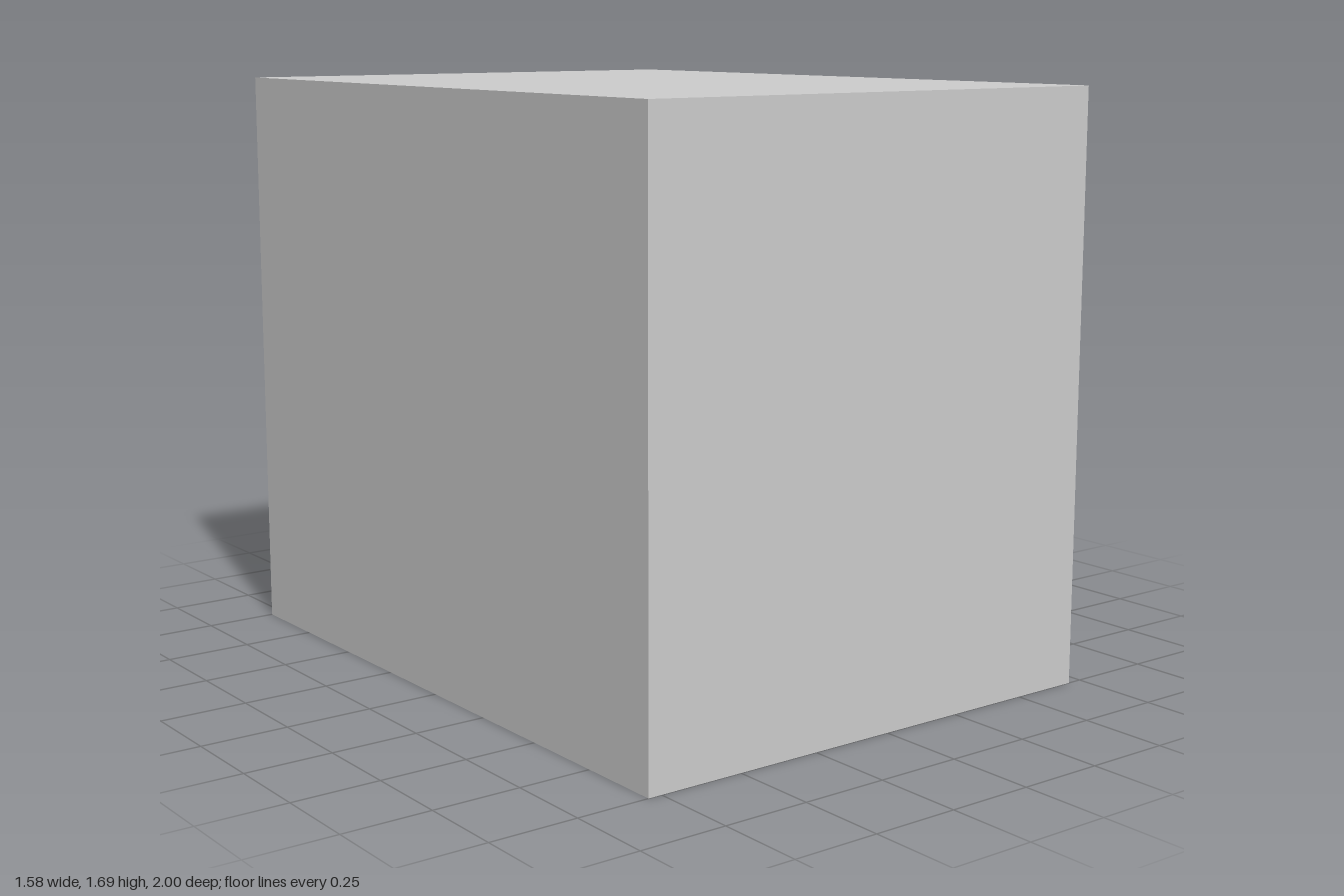
import * as THREE from 'three';

const grey = new THREE.MeshStandardMaterial({ color: 0xcccccc, flatShading: true });

// Sizes along x: cabinet back, cabinet face, sunken door, inner and outer face of the grip
const BACK = -0.79, FACE = 0.705, DOOR = 0.68, GRIP = 0.757, TIP = 0.785;

// Rectangle in the plane x, counter-clockwise seen from +x
function ring(x, z0, z1, y0, y1) {
  return [[x, y0, z0], [x, y0, z1], [x, y1, z1], [x, y1, z0]];
}

// Joins successive rings with quads and caps both ends
function loft(rings) {
  const pos = [];
  const quad = (a, b, c, d) => pos.push(...a, ...b, ...c, ...a, ...c, ...d);
  quad(...rings[0].slice().reverse());
  for (let i = 0; i < rings.length - 1; i++) {
    const a = rings[i], b = rings[i + 1];
    for (let k = 0; k < 4; k++) {
      const n = (k + 1) % 4;
      quad(a[k], a[n], b[n], b[k]);
    }
  }
  quad(...rings[rings.length - 1]);
  const geo = new THREE.BufferGeometry();
  geo.setAttribute('position', new THREE.Float32BufferAttribute(pos, 3));
  geo.computeVertexNormals();
  return geo;
}

function addMesh(parent, name, geo) {
  const mesh = new THREE.Mesh(geo, grey);
  mesh.name = name;
  parent.add(mesh);
  return mesh;
}

// Box given by its limits on each axis
function addBox(parent, name, x0, x1, y0, y1, z0, z1) {
  const mesh = addMesh(parent, name, new THREE.BoxGeometry(x1 - x0, y1 - y0, z1 - z0));
  mesh.position.set((x0 + x1) / 2, (y0 + y1) / 2, (z0 + z1) / 2);
}

export function createModel() {
  const model = new THREE.Group();
  model.name = 'microwaveOven';

  // Cabinet with a sunken door, sloped rim on three sides and a straight hinge side
  addMesh(model, 'cabinet', loft([
    ring(BACK, 1, -1, 0, 1.69),
    ring(FACE, 1, -1, 0, 1.69),
    ring(FACE, 0.77, -0.305, 0.065, 1.625),
    ring(DOOR, 0.75, -0.305, 0.085, 1.605),
  ]));

  // Door handle: a bracket profile with chamfered outer corners
  const profile = new THREE.Shape([
    [DOOR, 0.18], [0.735, 0.18], [TIP, 0.23], [TIP, 1.48], [0.735, 1.53], [DOOR, 1.53],
    [DOOR, 1.46], [GRIP, 1.46], [GRIP, 0.25], [DOOR, 0.25],
  ].map(([x, y]) => new THREE.Vector2(x, y)));
  const handle = addMesh(model, 'doorHandle',
    new THREE.ExtrudeGeometry(profile, { depth: 0.065, bevelEnabled: false }));
  handle.position.z = 0.6;

  // Control strip with four square buttons
  const controls = new THREE.Group();
  controls.name = 'controls';
  model.add(controls);
  addBox(controls, 'controlStrip', FACE, GRIP, 1.06, 1.525, 0.815, 0.893);
  [1.445, 1.335, 1.25, 1.12].forEach((y, i) =>
    addBox(controls, `button${i + 1}`, GRIP, TIP, y - 0.025, y + 0.025, 0.833, 0.883));

  return model;
}
